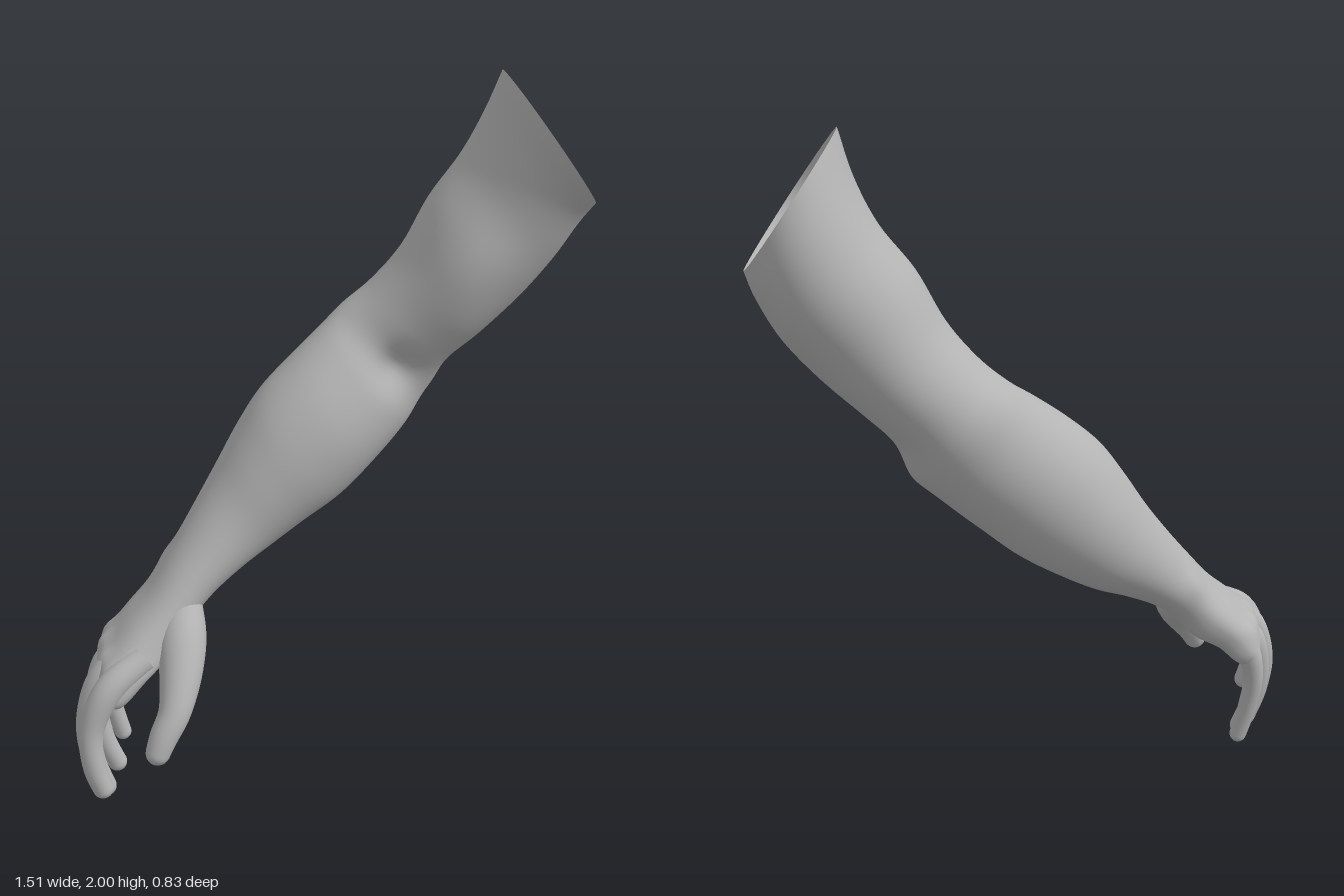
import * as THREE from 'three';

const skin = new THREE.MeshStandardMaterial({ color: 0xb4b4b4, side: THREE.DoubleSide });
skin.name = 'plain grey skin';

// Closed rings of points joined into one smooth surface
function loft(name, rings) {
  const n = rings[0].length, pos = [], idx = [];
  rings.forEach(r => r.forEach(p => pos.push(p.x, p.y, p.z)));
  for (let i = 0; i < rings.length - 1; i++) {
    for (let j = 0; j < n; j++) {
      const k = (j + 1) % n, a = i * n + j, b = i * n + k;
      idx.push(a, a + n, b, b, a + n, b + n);
    }
  }
  const g = new THREE.BufferGeometry();
  g.setAttribute('position', new THREE.Float32BufferAttribute(pos, 3));
  g.setIndex(idx);
  g.computeVertexNormals();
  const m = new THREE.Mesh(g, skin);
  m.name = name;
  return m;
}

// Arm sections: upper edge x, y; lower edge x, y; back z, front z
const SECTIONS = [
  [0.50, 2.00, 0.75, 1.65, -0.40, 0.105],
  [0.46, 1.88, 0.72, 1.585, -0.415, 0.055],
  [0.40, 1.76, 0.66, 1.48, -0.415, 0.03],
  [0.31, 1.64, 0.57, 1.37, -0.395, 0.02],
  [0.235, 1.50, 0.46, 1.265, -0.38, 0.01],
  [0.15, 1.40, 0.37, 1.18, -0.365, -0.02],
  [0.07, 1.335, 0.31, 1.09, -0.355, -0.035],
  [0.00, 1.28, 0.25, 0.995, -0.335, 0.01],
  [-0.09, 1.205, 0.15, 0.895, -0.315, 0.06],
  [-0.18, 1.12, 0.05, 0.805, -0.29, 0.085],
  [-0.25, 1.02, -0.06, 0.735, -0.26, 0.095],
  [-0.32, 0.905, -0.16, 0.675, -0.21, 0.105],
  [-0.39, 0.80, -0.25, 0.63, -0.15, 0.13],
  [-0.46, 0.70, -0.34, 0.575, -0.09, 0.165],
  [-0.53, 0.605, -0.405, 0.52, -0.05, 0.205],
  [-0.60, 0.53, -0.46, 0.45, -0.03, 0.25],
  [-0.655, 0.465, -0.535, 0.40, -0.01, 0.295],
  [-0.69, 0.40, -0.60, 0.345, 0.00, 0.315],
  [-0.68, 0.36, -0.63, 0.335, 0.05, 0.27],
  [-0.66, 0.352, -0.655, 0.35, 0.155, 0.16],
];

// Soft swells and hollows: x, y, z, radius, push x, y, z
const SWELLS = [
  [0.33, 1.10, -0.22, 0.08, 0.02, -0.015, -0.01],   // elbow point
  [0.20, 1.20, -0.03, 0.06, 0.0, 0.0, -0.03],       // inner elbow crease
  [0.40, 1.50, 0.02, 0.12, -0.01, 0.0, 0.015],      // biceps
  [-0.50, 0.66, -0.06, 0.05, -0.01, 0.01, -0.012],  // wrist bone
  [-0.53, 0.42, 0.13, 0.07, -0.025, 0.02, 0.0],     // palm hollow
  [-0.665, 0.45, 0.27, 0.035, -0.012, 0.01, 0.0],   // knuckles
  [-0.67, 0.45, 0.19, 0.035, -0.012, 0.01, 0.0],
  [-0.665, 0.45, 0.11, 0.035, -0.012, 0.01, 0.0],
  [-0.655, 0.45, 0.03, 0.035, -0.01, 0.008, 0.0],
];

function swell(p) {
  const q = p.clone();
  for (const [x, y, z, r, dx, dy, dz] of SWELLS) {
    const d2 = (p.x - x) ** 2 + (p.y - y) ** 2 + (p.z - z) ** 2;
    const w = Math.exp(-d2 / (r * r));
    q.x += dx * w; q.y += dy * w; q.z += dz * w;
  }
  return q;
}

function buildArm() {
  const last = SECTIONS.length - 1, steps = last * 6, sides = 56;
  const curve = pick => new THREE.CatmullRomCurve3(SECTIONS.map(pick), false, 'catmullrom', 0.5);
  const upper = curve(s => new THREE.Vector3(s[0], s[1], 0));
  const lower = curve(s => new THREE.Vector3(s[2], s[3], 0));
  const depth = curve(s => new THREE.Vector3(s[4], s[5], 0));
  const rings = [];
  for (let i = 0; i <= steps; i++) {
    const t = i / steps;
    const a = upper.getPoint(t), b = lower.getPoint(t), z = depth.getPoint(t);
    const mid = a.clone().add(b).multiplyScalar(0.5);
    const half = a.clone().sub(b).multiplyScalar(0.5);
    // the hand is boxier than the arm
    const power = 1 - 0.25 * THREE.MathUtils.smoothstep(t, 0.66, 0.82);
    const ring = [];
    for (let j = 0; j < sides; j++) {
      const th = j / sides * Math.PI * 2, c = Math.cos(th), s = Math.sin(th);
      const u = Math.sign(c) * Math.abs(c) ** power, w = Math.sign(s) * Math.abs(s) ** power;
      const p = mid.clone().addScaledVector(half, u);
      p.z = (z.x + z.y) / 2 + w * (z.y - z.x) / 2;
      ring.push(swell(p));
    }
    rings.push(ring);
  }
  return loft('armAndPalm', rings);
}

// Tapered finger with a round tip, through points x, y, z, radius
function buildFinger(name, pts) {
  const path = new THREE.CatmullRomCurve3(pts.map(p => new THREE.Vector3(p[0], p[1], p[2])));
  const radii = new THREE.CatmullRomCurve3(pts.map(p => new THREE.Vector3(p[3], 0, 0)), false, 'catmullrom', 0.5);
  const steps = 40, sides = 20, frames = path.computeFrenetFrames(steps, false);
  const tip = pts[pts.length - 1][3] / path.getLength();
  const rings = [];
  for (let i = 0; i <= steps; i++) {
    const t = 1 - (1 - i / steps) ** 2;
    const f = Math.round(t * steps), c = path.getPointAt(t);
    const k = Math.max(0, (t - 1 + tip) / tip);
    const r = radii.getPoint(path.getUtoTmapping(t)).x * Math.sqrt(Math.max(1e-5, 1 - k * k));
    const ring = [];
    for (let j = 0; j < sides; j++) {
      const th = j / sides * Math.PI * 2;
      ring.push(c.clone()
        .addScaledVector(frames.normals[f], Math.cos(th) * r)
        .addScaledVector(frames.binormals[f], -Math.sin(th) * r));
    }
    rings.push(ring);
  }
  return loft(name, rings);
}

const FINGERS = {
  indexFinger: [[-0.55, 0.475, 0.235, 0.04], [-0.655, 0.405, 0.285, 0.043], [-0.71, 0.29, 0.315, 0.035],
    [-0.708, 0.18, 0.335, 0.033], [-0.68, 0.08, 0.345, 0.028]],
  middleFinger: [[-0.56, 0.475, 0.17, 0.04], [-0.665, 0.405, 0.205, 0.043], [-0.72, 0.27, 0.228, 0.036],
    [-0.715, 0.14, 0.24, 0.033], [-0.675, 0.005, 0.24, 0.029]],
  ringFinger: [[-0.55, 0.475, 0.10, 0.04], [-0.655, 0.40, 0.123, 0.042], [-0.697, 0.27, 0.143, 0.034],
    [-0.685, 0.15, 0.153, 0.031], [-0.64, 0.025, 0.155, 0.028]],
  littleFinger: [[-0.54, 0.485, 0.04, 0.036], [-0.635, 0.405, 0.036, 0.037], [-0.665, 0.30, 0.04, 0.03],
    [-0.655, 0.19, 0.049, 0.028], [-0.625, 0.06, 0.055, 0.025]],
  thumb: [[-0.43, 0.60, 0.11, 0.05], [-0.44, 0.505, 0.185, 0.069], [-0.452, 0.42, 0.265, 0.06],
    [-0.475, 0.345, 0.33, 0.046], [-0.51, 0.285, 0.363, 0.04], [-0.54, 0.215, 0.388, 0.031]],
};

export function createModel() {
  const group = new THREE.Group();
  group.name = 'arm';
  group.add(buildArm());
  for (const [name, pts] of Object.entries(FINGERS)) group.add(buildFinger(name, pts));
  return group;
}
